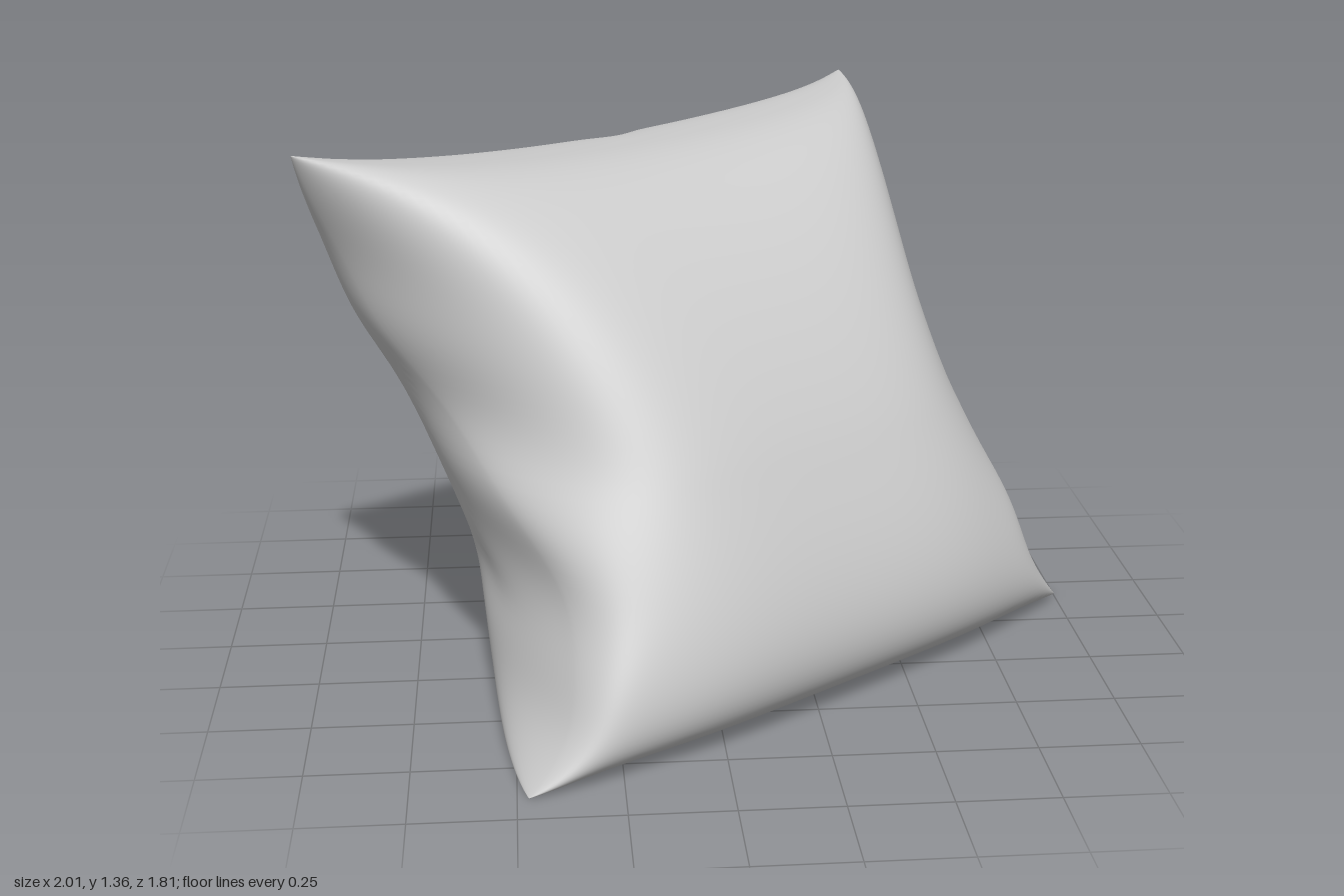
import * as THREE from 'three';
import { mergeVertices } from 'three/addons/utils/BufferGeometryUtils.js';

// Cushion axes: U runs along its width, H is the horizontal facing direction.
const U = new THREE.Vector3(0.807, 0, -0.59);
const H = new THREE.Vector3(0.59, 0, 0.807);

// Soft dents in the back: centre, radii, depth of push inwards.
const dents = [
  { s: 0.06, t: 0.93, rs: 0.08, rt: 0.05, depth: 0.07 },
  { s: -0.9, t: -0.5, rs: 0.07, rt: 0.12, depth: 0.04 },
  { s: 0.9, t: -0.5, rs: 0.07, rt: 0.12, depth: 0.04 },
];

// Puffed thickness from middle (1) to end seam (0), as [power, roundness].
const profiles = {
  frontTop: [1.7, 0.33], frontBottom: [3, 0.38],
  backTop: [2, 0.4], backBottom: [5, 0.27],
};
const puff = (x, [power, round]) => Math.pow(Math.max(0, 1 - Math.pow(x, power)), round);

// Point on the cushion; s and t run -1..1 across the width and height.
function cushionPoint(s, t, side) {
  const a = Math.abs(s), b = Math.abs(t);
  // Waist: the sides draw in between the four pointed corners.
  const pinch = 1 - Math.pow(b, t > 0 ? 1.6 : 4);
  let u = s * (0.915 - 0.21 * pinch);
  // Small puckers along the side seams.
  u -= Math.sign(s) * 0.01 * Math.pow(a, 8) * pinch * Math.cos(11 * t + 2 * s);
  // The middle leans evenly; the side seams swing quickly from ear to ear.
  const seam = Math.pow(a, 7);
  const lean = -t * 0.32 * (1 - seam) - Math.sign(t) * 0.45 * (1 - Math.pow(1 - b, 2.3)) * seam;
  // Front slopes to the sides, back is boxier.
  const across = puff(a, [4.5 + (side > 0 ? 0 : 3.5) * pinch, 0.56]);
  const end = (side > 0 ? 'front' : 'back') + (t > 0 ? 'Top' : 'Bottom');
  let w = (side > 0 ? 0.47 : 0.48) * across * puff(b, profiles[end]);
  if (side < 0) {
    for (const d of dents) {
      const g = d.depth * Math.exp(-(((s - d.s) / d.rs) ** 2) - ((t - d.t) / d.rt) ** 2);
      w -= Math.min(g, w * 0.5);
    }
  }
  const y = 0.645 + 0.645 * t + (t > 0 ? 0.065 * s * s * t ** 4 : 0);
  return new THREE.Vector3(0, y, 0).addScaledVector(U, u).addScaledVector(H, lean + side * w);
}

function cushionGeometry(n) {
  const pos = [], idx = [];
  // Rows crowd towards the seams so the rounded edges stay smooth.
  const ease = (i) => Math.sin((i / n - 0.5) * Math.PI);
  for (const side of [1, -1]) {
    const base = pos.length / 3;
    for (let j = 0; j <= n; j++) {
      for (let i = 0; i <= n; i++) pos.push(...cushionPoint(ease(i), ease(j), side).toArray());
    }
    for (let j = 0; j < n; j++) {
      for (let i = 0; i < n; i++) {
        const p = base + j * (n + 1) + i, q = p + 1, r = p + n + 1, v = r + 1;
        if (side > 0) idx.push(p, q, v, p, v, r);
        else idx.push(p, v, q, p, r, v);
      }
    }
  }
  let geo = new THREE.BufferGeometry();
  geo.setAttribute('position', new THREE.Float32BufferAttribute(pos, 3));
  geo.setIndex(idx);
  // Weld front and back along the seam.
  geo = mergeVertices(geo, 1e-5);
  geo.computeVertexNormals();
  return geo;
}

export function createModel() {
  const group = new THREE.Group();
  group.name = 'pillow';
  const cushion = new THREE.Mesh(
    cushionGeometry(72),
    new THREE.MeshStandardMaterial({ color: 0xcccccc })
  );
  cushion.name = 'cushion';
  group.add(cushion);
  return group;
}
